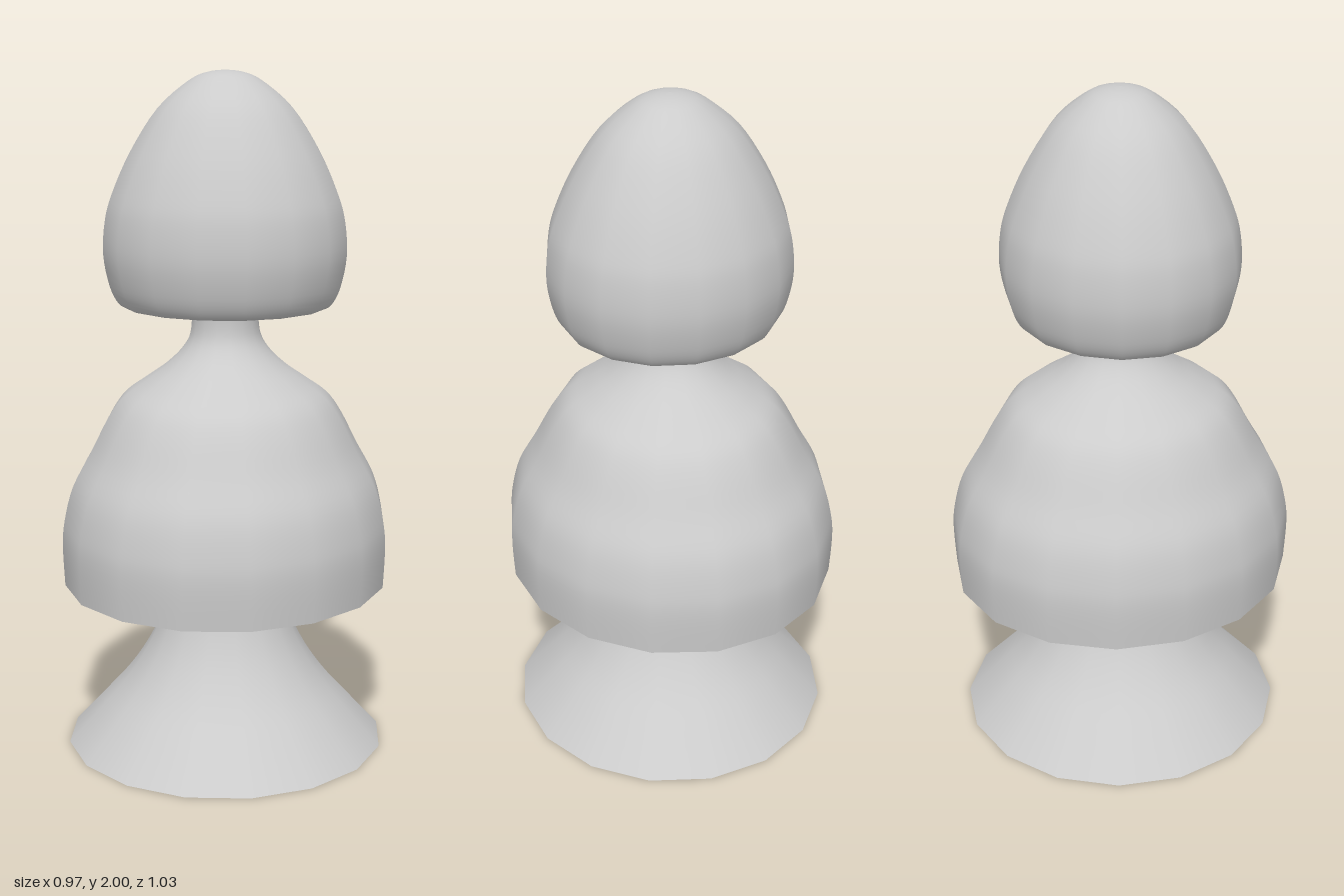
import * as THREE from 'three';

const material = new THREE.MeshStandardMaterial({ color: 0xcccccc, side: THREE.DoubleSide });

// Smooth 16-sided shell turned from a few [radius, height] points, with its depth scaled
function turned(name, profile, steps, depth) {
  const curve = new THREE.SplineCurve(profile.map(([r, y]) => new THREE.Vector2(r, y)));
  const points = curve.getPoints(steps);
  points.forEach((p) => { p.x = Math.max(p.x, 0); });
  const geometry = new THREE.LatheGeometry(points, 16);
  geometry.scale(1, 1, depth);
  const mesh = new THREE.Mesh(geometry, material);
  mesh.name = name;
  return mesh;
}

export function createModel() {
  const group = new THREE.Group();
  group.name = 'turnedFigure';

  // Flared hollow foot whose stem runs up inside the body
  group.add(turned('footAndStem', [
    [0.476, 0], [0.385, 0.1], [0.297, 0.2], [0.232, 0.3], [0.19, 0.4],
    [0.165, 0.5], [0.112, 0.7], [0.095, 0.9], [0.09, 1.2],
  ], 32, 1.02));

  // Bell-shaped body, open below, narrowing to the neck
  group.add(turned('bodyAndNeck', [
    [0.478, 0.5], [0.483, 0.62], [0.476, 0.7], [0.45, 0.8], [0.397, 0.9],
    [0.346, 1.0], [0.302, 1.06], [0.238, 1.107], [0.175, 1.152],
    [0.127, 1.2], [0.102, 1.25], [0.099, 1.32], [0.115, 1.35],
  ], 48, 1.062));

  // Domed head with a rounded rim and shallow hollow underside
  group.add(turned('head', [
    [0.09, 1.335], [0.14, 1.358], [0.2, 1.355], [0.25, 1.33], [0.29, 1.325],
    [0.315, 1.34], [0.339, 1.39], [0.356, 1.48], [0.35, 1.577],
    [0.328, 1.656], [0.275, 1.772], [0.196, 1.893], [0.106, 1.97],
    [0.05, 1.994], [0, 2],
  ], 56, 0.955));

  return group;
}
